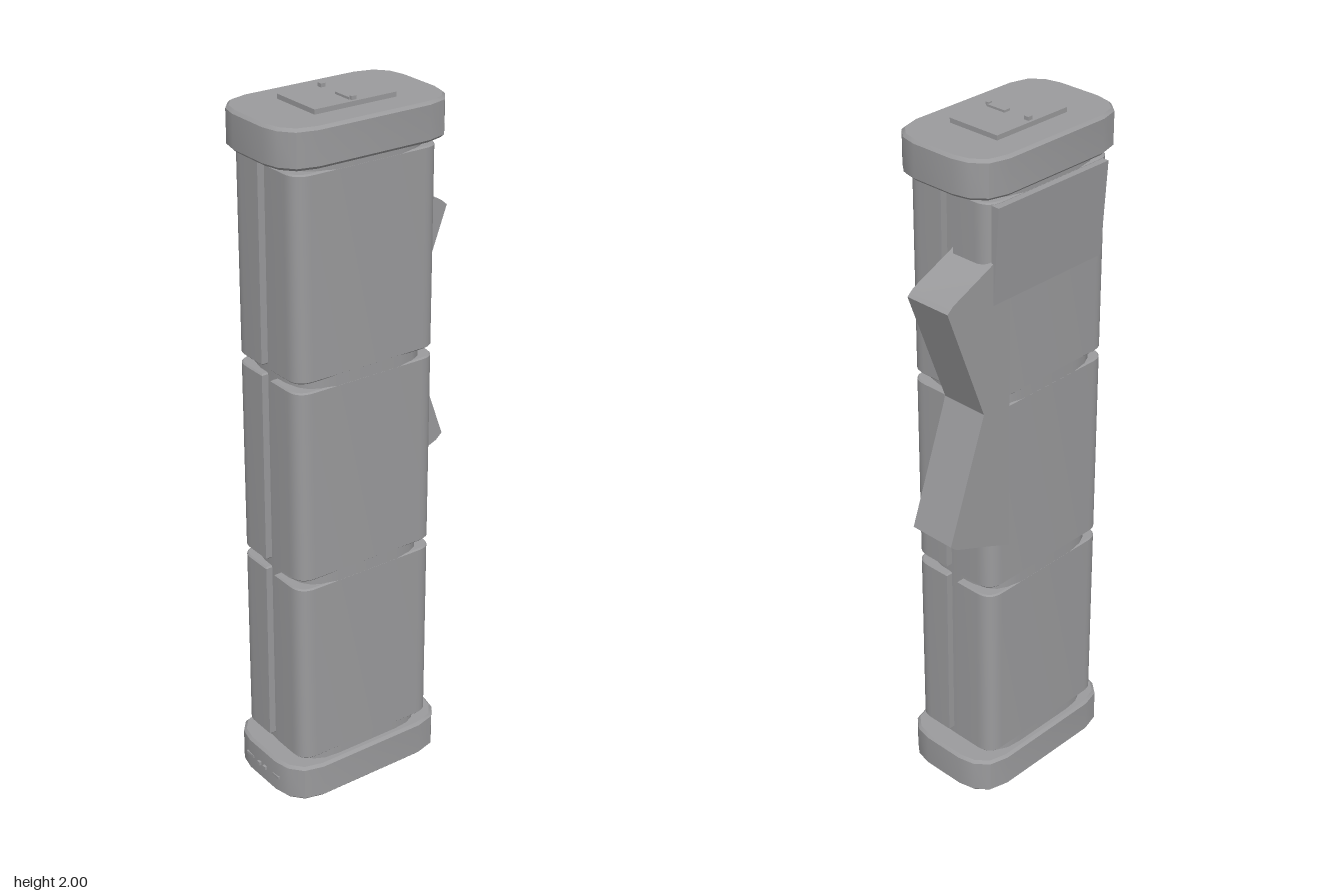
import * as THREE from 'three';
import { toCreasedNormals } from 'three/addons/utils/BufferGeometryUtils.js';

const grey = new THREE.MeshStandardMaterial({ color: 0x9b9b9d });
grey.name = 'plain grey';

export function createModel() {
  const group = new THREE.Group();
  group.name = 'pillarCase';

  const add = (name, geometry) => {
    const mesh = new THREE.Mesh(geometry, grey);
    mesh.name = name;
    group.add(mesh);
    return mesh;
  };

  // Outline helper: points in plan, as Vector2
  const shapeOf = (pts) => new THREE.Shape(pts.map(([a, b]) => new THREE.Vector2(a, b)));

  // Mirror one quarter outline into a closed loop
  const fourWay = (q) => {
    const r = [...q].reverse();
    return shapeOf([
      ...q, ...r.map(([x, z]) => [-x, z]),
      ...q.map(([x, z]) => [-x, -z]), ...r.map(([x, z]) => [x, -z]),
    ]);
  };

  // Upright prism from a plan outline, with a small bevel
  const prism = (name, shape, y0, y1, cz, bevel) => {
    const g = new THREE.ExtrudeGeometry(shape, {
      depth: y1 - y0 - 2 * bevel, bevelEnabled: bevel > 0, bevelSegments: 1,
      bevelSize: bevel, bevelThickness: bevel, bevelOffset: -bevel, curveSegments: 8,
    });
    g.rotateX(-Math.PI / 2).translate(0, y0 + bevel, cz);
    return add(name, toCreasedNormals(g, 0.6));
  };

  const box = (name, x0, x1, y0, y1, z0, z1) => {
    const g = new THREE.BoxGeometry(x1 - x0, y1 - y0, z1 - z0);
    g.translate((x0 + x1) / 2, (y0 + y1) / 2, (z0 + z1) / 2);
    return add(name, g);
  };

  // End caps
  const cap = fourWay([[0.165, 0.17], [0.15, 0.226], [0.113, 0.257], [0.065, 0.268]]);
  prism('bottomCap', cap, 0, 0.11, 0.047, 0.008);
  prism('topCap', cap, 1.87, 1.977, 0.047, 0.008);

  // Inner core, seen in the grooves and slots
  const core = fourWay([
    [0.1448, 0.1], [0.14, 0.145], [0.125, 0.175], [0.1, 0.193], [0.06, 0.203], [0.02, 0.205],
  ]);
  prism('core', core, 0.1, 1.88, 0.05, 0);

  // Shell halves in three tiers, parted by a slot at front and back
  const r = 0.05, X = 0.145, Z = 0.225;
  for (const s of [1, -1]) {
    const half = new THREE.Shape();
    half.moveTo(s * 0.02, -Z);
    half.lineTo(s * (X - r), -Z);
    half.quadraticCurveTo(s * X, -Z, s * X, -Z + r);
    half.lineTo(s * X, Z - r);
    half.quadraticCurveTo(s * X, Z, s * (X - r), Z);
    half.lineTo(s * 0.02, Z);
    for (const [y0, y1] of [[0.13, 0.685], [0.71, 1.27], [1.295, 1.855]]) {
      prism(s > 0 ? 'leftShell' : 'rightShell', half, y0, y1, 0.05, 0.004);
    }
  }

  // Twin-peaked fin on the back
  const fin = shapeOf([
    [0.1, 0.83], [0.17, 0.86], [0.3, 0.912], [0.32, 0.93], [0.195, 1.28],
    [0.32, 1.615], [0.3, 1.632], [0.17, 1.69], [0.1, 1.725],
  ]);
  const finGeometry = new THREE.ExtrudeGeometry(fin, { depth: 0.14, bevelEnabled: false });
  finGeometry.rotateY(Math.PI / 2).translate(-0.1455, 0, 0);
  add('backFin', toCreasedNormals(finGeometry, 0.3));

  // Tapered side wedge under the top cap
  const wedge = new THREE.ExtrudeGeometry(
    shapeOf([[-0.14, 1.58], [-0.14, 1.85], [-0.164, 1.85], [-0.146, 1.58]]),
    { depth: 0.4, bevelEnabled: false },
  );
  wedge.translate(0, 0, -0.16);
  add('sideWedge', wedge);

  // Top plate with its small fittings
  box('topPlate', -0.081, 0.081, 1.97, 1.99, -0.08, 0.171);
  box('topStud', -0.073, -0.058, 1.988, 2, 0.039, 0.053);
  box('topBar', 0.006, 0.066, 1.988, 1.996, 0.036, 0.056);
  box('topCatch', 0.064, 0.073, 1.988, 2, 0.039, 0.053);

  // Small fittings on the front of the base
  box('frontStrip', -0.081, -0.045, 0.05, 0.058, 0.3, 0.317);
  box('frontStrip', 0.05, 0.081, 0.05, 0.058, 0.3, 0.317);
  box('frontStud', -0.02, -0.007, 0.049, 0.059, 0.31, 0.322);
  box('frontStud', 0.008, 0.021, 0.049, 0.059, 0.31, 0.322);

  return group;
}
